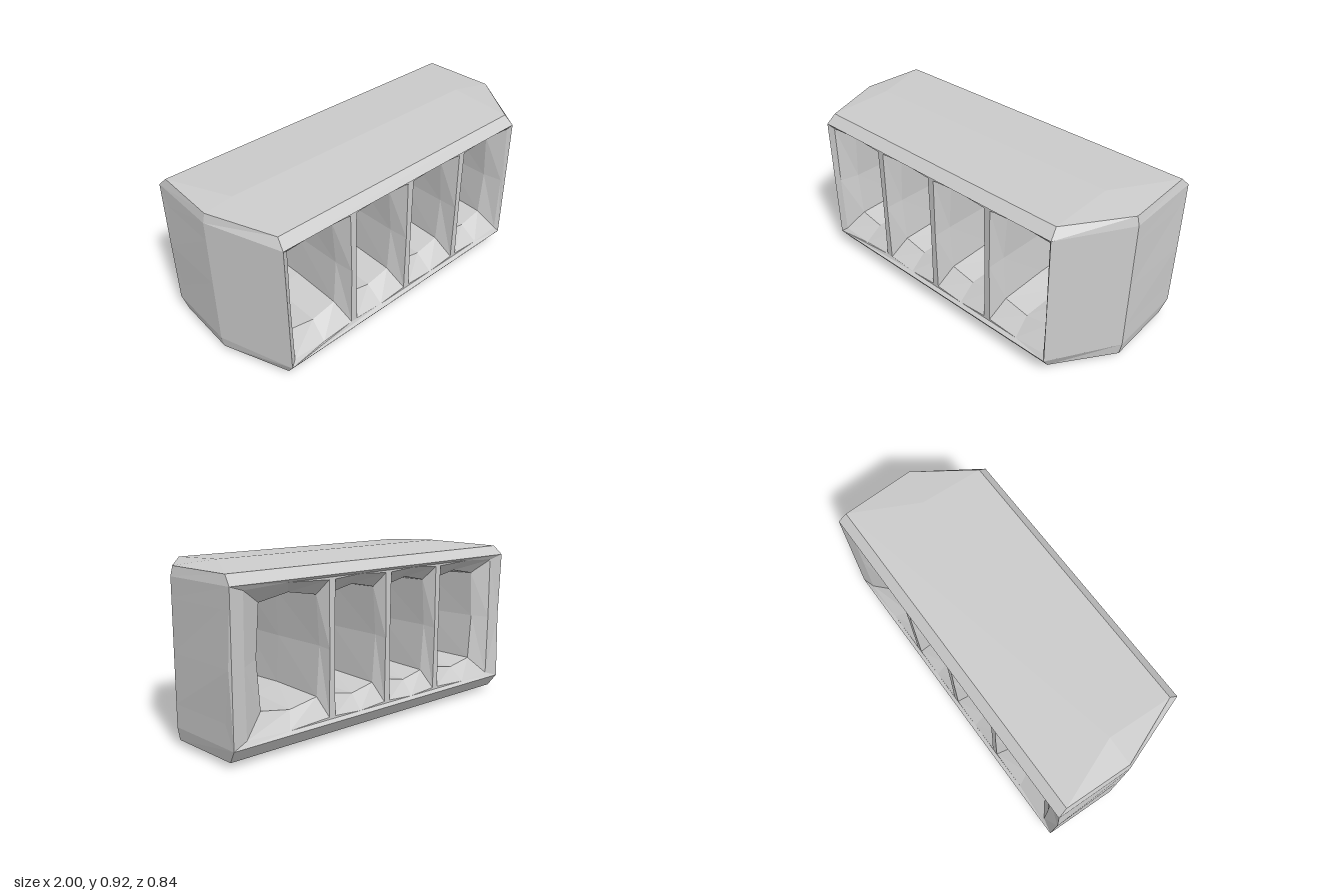
import * as THREE from 'three';

const material = new THREE.MeshStandardMaterial({ color: 0xcccccc, flatShading: true, side: THREE.DoubleSide });

function addMesh(group, name, triangles) {
  const geometry = new THREE.BufferGeometry();
  geometry.setAttribute('position', new THREE.Float32BufferAttribute(triangles.flat(), 3));
  geometry.computeVertexNormals();
  const mesh = new THREE.Mesh(geometry, material);
  mesh.name = name;
  group.add(mesh);
}

// Joins two matching closed rings with quads
function bridge(out, a, b, skip = []) {
  a.forEach((p, i) => {
    if (skip.includes(i)) return;
    const j = (i + 1) % a.length;
    out.push(p, a[j], b[j], p, b[j], b[i]);
  });
}

// Six-sided footprint: inset pulls the long edges in, bulge widens the back
// corners, backZ notches the back edges of the end walls
function footprint([y, inset, bulge, backZ]) {
  const z = 0.42 - inset, e = inset * 0.25;
  return [
    [-0.86 + e, y, z], [0.78 - e, y, z], [1 - e, y, 0.05],
    [0.982 + bulge - e, y, backZ], [-0.982 - bulge + e, y, backZ], [-1 + e, y, 0],
  ];
}

const levels = [
  [0.03, 0.05, 0, -0.37],
  [0.1, 0, 0, -0.42],
  [0.22, 0, 0.003, -0.36],
  [0.48, 0, 0.008, -0.405],
  [0.75, 0, 0.003, -0.36],
  [0.855, 0, 0, -0.42],
  [0.905, 0.05, 0, -0.37],
];

// Eight-point opening, counter-clockwise from the front
function opening(x0, x1, y0, y1, z, dx = 0, dy = 0) {
  const xm = (x0 + x1) / 2, ym = (y0 + y1) / 2;
  return [
    [x0 + dx, y0 + dy, z], [xm, y0, z], [x1 - dx, y0 + dy, z], [x1, ym, z],
    [x1 - dx, y1 - dy, z], [xm, y1, z], [x0 + dx, y1 - dy, z], [x0, ym, z],
  ];
}

// Pierced face panel; boundary points keep their own depth
function panel(outline, holes, flip) {
  const to2 = (ring) => ring.map(([x, y]) => new THREE.Vector2(x, y));
  const contour = to2(outline), inner = holes.map((h) => to2([...h].reverse()));
  const points = [...outline, ...holes.flatMap((h) => [...h].reverse())];
  const out = [];
  for (const [a, b, c] of THREE.ShapeUtils.triangulateShape(contour, inner)) {
    out.push(points[a], points[flip ? c : b], points[flip ? b : c]);
  }
  return out;
}

export function createModel() {
  const group = new THREE.Group();
  group.name = 'cellBlock';

  // Outer shell, open at front and back between the lips
  const rings = levels.map(footprint);
  const shell = [];
  for (let k = 0; k < rings.length - 1; k++) {
    bridge(shell, rings[k], rings[k + 1], k > 0 && k < rings.length - 2 ? [0, 3] : []);
  }
  addMesh(group, 'outerShell', shell);

  // Slightly ridged top and bottom
  const cap = (ring, y, flip) => {
    const [p0, p1, p2, p3, p4, p5] = ring;
    const a = [-0.83, y, 0], b = [0.77, y, 0];
    const faces = [[p0, p1, b], [p0, b, a], [p1, p2, b], [p2, p3, b],
      [p3, p4, a], [p3, a, b], [p4, p5, a], [p5, p0, a]];
    return faces.flatMap(([u, v, w]) => (flip ? [u, w, v] : [u, v, w]));
  };
  addMesh(group, 'topSlab', cap(rings[rings.length - 1], 0.924, false));
  addMesh(group, 'bottomSlab', cap(rings[0], 0, true));

  // Four through cells, flared towards both faces
  const inner = [[-0.785, -0.46], [-0.385, -0.065], [0.005, 0.335], [0.4, 0.725]];
  const walls = [-0.42, -0.025, 0.37];
  const frontHoles = [], backHoles = [];
  inner.forEach(([x0, x1], i) => {
    const left = i ? walls[i - 1] + 0.016 : null;
    const right = i < 3 ? walls[i] - 0.016 : null;
    const front = opening(left ?? -0.83, right ?? 0.765, 0.115, 0.84, 0.4, 0.004, 0.012);
    const back = opening(left ?? -0.9, right ?? 0.9, 0.115, 0.84, -0.4, 0.004, 0.012);
    const cell = [];
    const sections = [
      front,
      opening(x0 - 0.005, x1 + 0.005, 0.195, 0.78, 0.3, 0.02, 0.03),
      opening(x0, x1, 0.2, 0.775, 0, 0.015, 0.035),
      opening(x0 - (i ? 0.005 : 0.04), x1 + (i < 3 ? 0.005 : 0.06), 0.195, 0.78, -0.33, 0.02, 0.03),
      back,
    ];
    for (let k = 0; k < sections.length - 1; k++) bridge(cell, sections[k], sections[k + 1]);
    addMesh(group, `cell${i + 1}`, cell);
    frontHoles.push(front);
    backHoles.push(back);
  });

  // Front and back frames around the cells
  const middle = rings.slice(1, -1);
  const edge = (l, r) => [...middle.map((m) => m[r]), ...middle.map((m) => m[l]).reverse()];
  const last = middle.length - 1;
  const frontEdge = [middle[0][0], middle[0][1], middle[last][1], middle[last][0]];
  addMesh(group, 'frontFrame', panel(frontEdge, frontHoles, false));
  addMesh(group, 'backFrame', panel(edge(4, 3), backHoles, true));

  return group;
}
